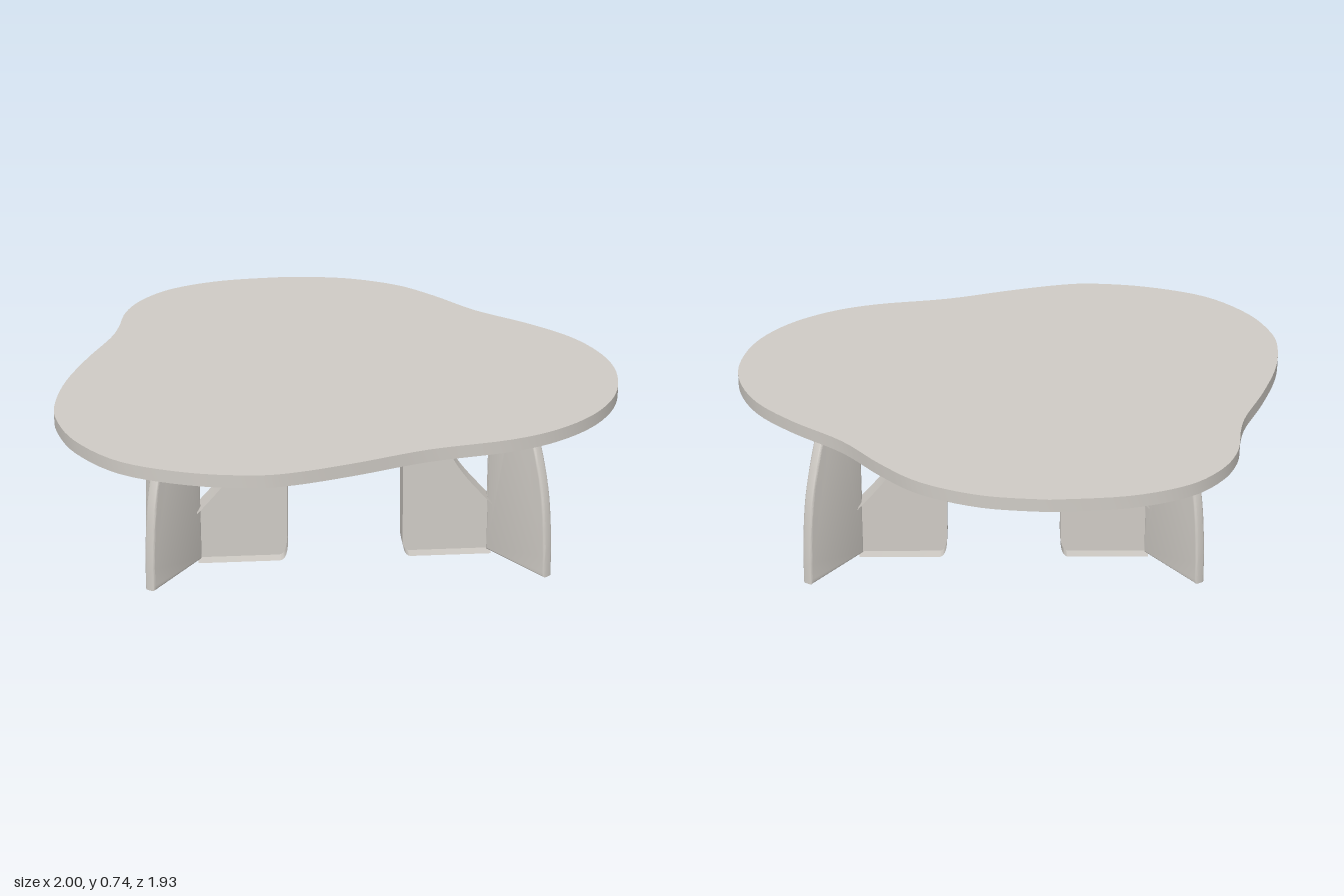
import * as THREE from 'three';
import { toCreasedNormals } from 'three/addons/utils/BufferGeometryUtils.js';

const v2 = (pairs) => pairs.map(([x, y]) => new THREE.Vector2(x, y));

export function createModel() {
  const table = new THREE.Group();
  table.name = 'table';
  const stone = new THREE.MeshStandardMaterial({ color: 0xcfcbc5, side: THREE.DoubleSide });
  stone.name = 'warm grey';

  const add = (parent, name, geometry) => {
    const mesh = new THREE.Mesh(geometry, stone);
    mesh.name = name;
    parent.add(mesh);
    return mesh;
  };

  const underside = 0.69, thickness = 0.045;

  // Table top: smooth three-lobed outline (x, z)
  const outline = new THREE.SplineCurve(v2([
    [-0.12, -0.967], [0.1, -0.935], [0.3, -0.84], [0.44, -0.7], [0.58, -0.52], [0.76, -0.36],
    [0.9, -0.2], [0.98, -0.02], [1, 0.16], [0.96, 0.36], [0.86, 0.53], [0.71, 0.66],
    [0.53, 0.74], [0.25, 0.8], [0, 0.89], [-0.2, 0.95], [-0.34, 0.963], [-0.55, 0.925],
    [-0.77, 0.82], [-0.92, 0.64], [-0.99, 0.45], [-1, 0.3], [-0.97, 0.1], [-0.9, -0.12],
    [-0.82, -0.32], [-0.79, -0.44], [-0.765, -0.6], [-0.7, -0.74], [-0.58, -0.86], [-0.38, -0.94],
    [-0.12, -0.967],
  ])).getPoints(150);
  outline.pop();
  const topGeometry = new THREE.ExtrudeGeometry(new THREE.Shape(outline), { depth: thickness, bevelEnabled: false });
  topGeometry.rotateX(Math.PI / 2).translate(0, underside + thickness, 0);
  add(table, 'tableTop', toCreasedNormals(topGeometry, 0.6));

  // Outer fin: bowed slab with softened edges
  const bow = new THREE.SplineCurve(v2([
    [0.312, 0], [0.307, 0.15], [0.285, 0.33], [0.235, 0.5], [0.19, 0.6], [0.133, underside],
  ])).getPoints(24);
  const finShape = new THREE.Shape([new THREE.Vector2(0, 0), ...bow, new THREE.Vector2(0, underside)]);
  const bevel = 0.008, finDepth = 0.04;
  const finGeometry = toCreasedNormals(new THREE.ExtrudeGeometry(finShape, {
    depth: finDepth - 2 * bevel, bevelThickness: bevel, bevelSize: bevel, bevelOffset: -bevel, bevelSegments: 3,
  }).translate(0, 0, bevel - finDepth / 2), 0.6);

  // Inner fin: thin web edged by flanges, measured outwards from the hub
  const sweep = new THREE.SplineCurve(v2([
    [0.225, underside], [0.224, 0.61], [0.21, 0.53], [0.16, 0.41], [0.1, 0.315], [0, 0.2],
  ])).getPoints(30);
  const corner = new THREE.QuadraticBezierCurve(...v2([[0.3, 0], [0.33, 0], [0.333, 0.07]])).getPoints(10);
  const rim = [new THREE.Vector2(0, 0), ...corner, new THREE.Vector2(0.336, underside)];
  const webGeometry = new THREE.ShapeGeometry(new THREE.Shape([...rim, ...sweep]));

  // Flange: strip of constant width following a path
  const flange = (path, half = 0.05) => {
    const position = [], index = [];
    path.forEach((p, i) => {
      position.push(p.x, p.y, half, p.x, p.y, -half);
      if (i) {
        const a = 2 * i - 2;
        index.push(a, a + 1, a + 2, a + 1, a + 3, a + 2);
      }
    });
    const g = new THREE.BufferGeometry();
    g.setAttribute('position', new THREE.Float32BufferAttribute(position, 3));
    g.setIndex(index);
    return toCreasedNormals(g, 0.6);
  };

  // Two three-finned legs, turned to face each other
  for (const side of [-1, 1]) {
    const leg = new THREE.Group();
    leg.name = side < 0 ? 'rightLeg' : 'leftLeg';
    leg.position.set(0.028 + side * 0.546, 0, 0.062);
    leg.rotation.y = side < 0 ? 0 : Math.PI;
    for (const s of [-1, 1]) {
      add(leg, 'outerFin', finGeometry).rotation.y = s * THREE.MathUtils.degToRad(125);
    }
    add(leg, 'innerFinWeb', webGeometry);
    add(leg, 'innerFinRim', flange(rim));
    add(leg, 'innerFinSweep', flange(sweep));
    table.add(leg);
  }
  return table;
}
